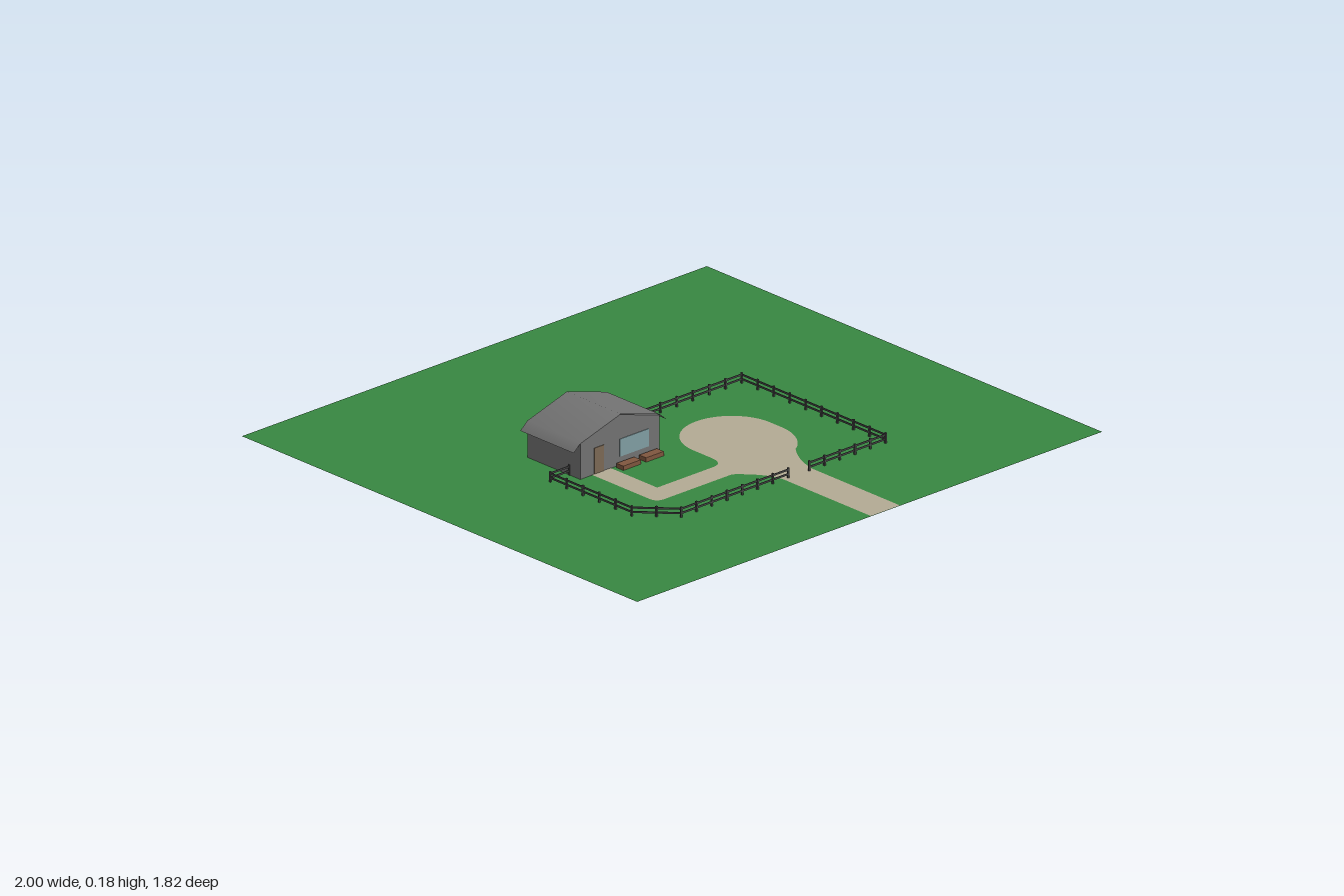
import * as THREE from 'three';

const mat = (color, side = THREE.FrontSide) => new THREE.MeshStandardMaterial({ color, side });

function add(parent, name, geometry, material, x = 0, y = 0, z = 0) {
  const mesh = new THREE.Mesh(geometry, material);
  mesh.name = name;
  mesh.position.set(x, y, z);
  parent.add(mesh);
  return mesh;
}

// Walls as one extruded gable outline, with a thin roof sheet that droops past the walls
function createHouse() {
  const house = new THREE.Group();
  house.name = 'house';
  house.position.set(-0.29, 0, 0);
  const back = -0.172, front = 0.07;

  const gable = new THREE.Shape([
    [-0.17, 0], [0.17, 0], [0.17, 0.123], [0, 0.173], [-0.17, 0.123],
  ].map(([x, y]) => new THREE.Vector2(x, y)));
  const walls = new THREE.ExtrudeGeometry(gable, { depth: front - back, bevelEnabled: false });
  add(house, 'walls', walls, mat(0x737373), 0, 0, back);

  const profile = [[-0.2, 0.1], [-0.17, 0.126], [0, 0.176], [0.17, 0.126], [0.2, 0.1]];
  const positions = [], index = [];
  profile.forEach(([x, y], i) => {
    positions.push(x, y, front + 0.002, x, y, back - 0.002);
    if (i) {
      const a = 2 * i - 2;
      index.push(a, a + 2, a + 3, a, a + 3, a + 1);
    }
  });
  const roof = new THREE.BufferGeometry();
  roof.setAttribute('position', new THREE.Float32BufferAttribute(positions, 3));
  roof.setIndex(index);
  roof.computeVertexNormals();
  add(house, 'roof', roof, mat(0x737373, THREE.DoubleSide));

  add(house, 'door', new THREE.BoxGeometry(0.04, 0.09, 0.004), mat(0x7d6a55), -0.09, 0.046, front);
  add(house, 'window', new THREE.BoxGeometry(0.125, 0.06, 0.004), mat(0x82a0a5), 0.062, 0.06, front);
  for (const x of [0.016, 0.114]) {
    add(house, 'planter', new THREE.BoxGeometry(0.076, 0.015, 0.032), mat(0x80573f), x, 0.0085, 0.094);
  }
  return house;
}

// Driveway, turning circle and footpath in one outline; shape y is -z
function createPath() {
  const s = new THREE.Shape();
  s.moveTo(0.005, -0.91);
  s.lineTo(0.13, -0.91);
  s.lineTo(0.13, -0.51);
  s.quadraticCurveTo(0.14, -0.43, 0.2, -0.355);
  s.bezierCurveTo(0.26, -0.32, 0.287, -0.25, 0.287, -0.2);
  s.lineTo(0.287, -0.145);
  s.absarc(0.122, -0.145, 0.165, 0, Math.PI, false);
  s.lineTo(-0.043, -0.23);
  s.quadraticCurveTo(-0.045, -0.285, -0.09, -0.285);
  s.lineTo(-0.33, -0.285);
  s.lineTo(-0.33, -0.07);
  s.lineTo(-0.41, -0.07);
  s.lineTo(-0.41, -0.335);
  s.quadraticCurveTo(-0.41, -0.368, -0.375, -0.368);
  s.lineTo(-0.085, -0.368);
  s.quadraticCurveTo(0, -0.44, 0.005, -0.51);
  s.closePath();
  return new THREE.ShapeGeometry(s, 24).rotateX(-Math.PI / 2);
}

// Posts and two rails along a run of [x, z] corners
function addFence(parent, corners, material) {
  const post = new THREE.BoxGeometry(0.006, 0.036, 0.006);
  corners.forEach(([x, z], i) => {
    add(parent, 'fencePost', post, material, x, 0.019, z);
    if (!i) return;
    const [px, pz] = corners[i - 1];
    const dx = x - px, dz = z - pz, length = Math.hypot(dx, dz);
    const steps = Math.max(1, Math.round(length / 0.07));
    for (let k = 1; k < steps; k++) {
      add(parent, 'fencePost', post, material, px + dx * k / steps, 0.019, pz + dz * k / steps);
    }
    for (const y of [0.015, 0.03]) {
      const rail = add(parent, 'fenceRail', new THREE.BoxGeometry(length, 0.006, 0.003), material,
        (x + px) / 2, y, (z + pz) / 2);
      rail.rotation.y = -Math.atan2(dz, dx);
    }
  });
}

export function createModel() {
  const model = new THREE.Group();
  model.name = 'farmyard';

  const lawn = new THREE.PlaneGeometry(2, 1.82).rotateX(-Math.PI / 2);
  add(model, 'lawn', lawn, mat(0x388741, THREE.DoubleSide), 0, 0.001, 0);
  add(model, 'path', createPath(), mat(0xb3aa94), 0, 0.0025, 0);
  model.add(createHouse());

  const fence = new THREE.Group();
  fence.name = 'fence';
  const wood = mat(0x484848);
  addFence(fence, [[-0.12, -0.15], [0.44, -0.15], [0.44, 0.512], [0.112, 0.512]], wood);
  addFence(fence, [[0.025, 0.508], [-0.435, 0.508], [-0.542, 0.395], [-0.542, 0.02], [-0.46, 0.02]], wood);
  model.add(fence);
  return model;
}
